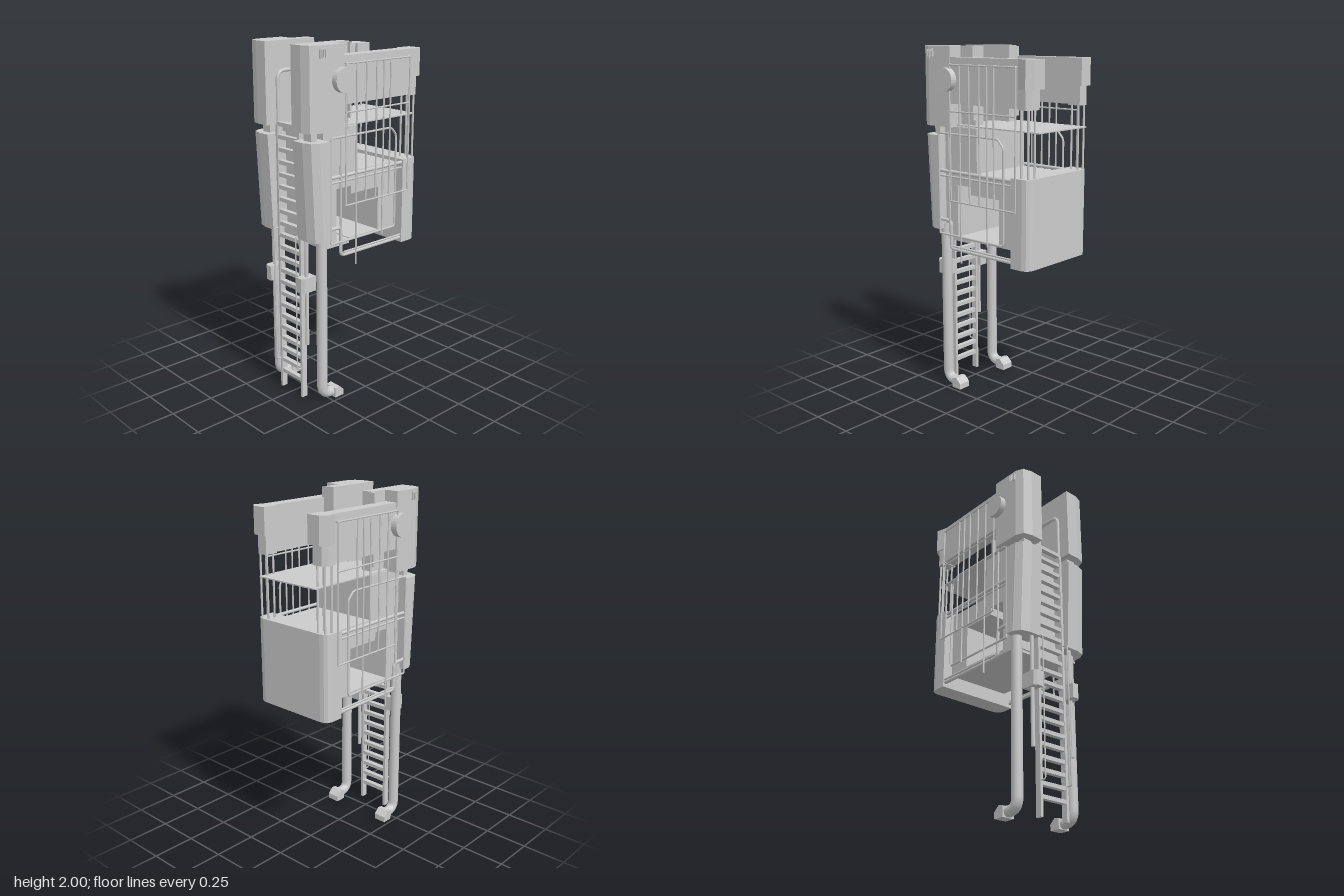
import * as THREE from 'three';

const gray = new THREE.MeshStandardMaterial({ color: 0xcccccc, flatShading: true });
const smooth = new THREE.MeshStandardMaterial({ color: 0xcccccc });

export function createModel() {
  const root = new THREE.Group();

  const add = (name, geo, mat = gray) => {
    const m = new THREE.Mesh(geo, mat);
    m.name = name;
    root.add(m);
    return m;
  };
  // box from minimum and maximum corners
  const box = (name, x0, x1, y0, y1, z0, z1) => {
    const g = new THREE.BoxGeometry(x1 - x0, y1 - y0, Math.abs(z1 - z0));
    g.translate((x0 + x1) / 2, (y0 + y1) / 2, (z0 + z1) / 2);
    return add(name, g);
  };
  // upright prism from an [x, z] outline
  const prism = (name, outline, y0, y1) => {
    const shape = new THREE.Shape(outline.map(([x, z]) => new THREE.Vector2(x, -z)));
    const g = new THREE.ExtrudeGeometry(shape, { depth: y1 - y0, bevelEnabled: false });
    g.rotateX(-Math.PI / 2).translate(0, y0, 0);
    return add(name, g);
  };
  // straight round bar between two points
  const bar = (name, a, b, r, sides = 8) => {
    const p = new THREE.Vector3(...a), q = new THREE.Vector3(...b);
    const d = q.clone().sub(p);
    const m = add(name, new THREE.CylinderGeometry(r, r, d.length(), sides), smooth);
    m.position.copy(p).add(q).multiplyScalar(0.5);
    m.quaternion.setFromUnitVectors(new THREE.Vector3(0, 1, 0), d.normalize());
    return m;
  };
  // bent pipe with rounded corners
  const pipe = (name, pts, r, bend, sides = 8) => {
    const v = pts.map(p => new THREE.Vector3(...p));
    const path = new THREE.CurvePath();
    let last = v[0];
    for (let i = 1; i < v.length - 1; i++) {
      const a = v[i].clone().add(v[i - 1].clone().sub(v[i]).setLength(bend));
      const b = v[i].clone().add(v[i + 1].clone().sub(v[i]).setLength(bend));
      path.add(new THREE.LineCurve3(last, a));
      path.add(new THREE.QuadraticBezierCurve3(a, v[i], b));
      last = b;
    }
    path.add(new THREE.LineCurve3(last, v[v.length - 1]));
    return add(name, new THREE.TubeGeometry(path, 96, r, sides), smooth);
  };

  // front tub with rounded corners
  const tub = [[0.265, 0.26], [0.34, 0.26], [0.365, 0.252], [0.378, 0.235], [0.383, 0.21]];
  prism('frontTub', [...tub, ...tub.map(([x, z]) => [x, -z]).reverse()], 0.84, 1.33);
  box('tubInnerBlock', 0.13, 0.27, 0.93, 1.31, -0.2, 0.2);

  // cabin core
  box('backWall', -0.28, -0.185, 0.92, 1.56, -0.2, 0.2);
  box('seatBlock', -0.19, -0.035, 1.23, 1.56, -0.2, 0.2);
  box('middleShelf', -0.08, 0.14, 1.185, 1.31, -0.2, 0.2);
  box('floor', -0.27, -0.09, 0.905, 0.93, -0.2, 0.2);
  box('frontFloor', -0.09, 0.27, 0.92, 0.935, -0.2, 0.2);
  box('roofPlate', -0.19, 0.405, 1.565, 1.572, -0.205, 0.205);

  for (const s of [1, -1]) {
    const P = (x, y, z) => [x, y, s * z];
    const sbox = (n, x0, x1, y0, y1, z0, z1) => box(n, x0, x1, y0, y1, s * z0, s * z1);
    const sprism = (n, o, y0, y1) => prism(n, o.map(([x, z]) => [x, s * z]), y0, y1);

    // upper rear pod with its inner arm
    sprism('upperRearPod', [[-0.41, 0.105], [-0.41, 0.18], [-0.395, 0.232], [-0.35, 0.252],
      [-0.18, 0.255], [-0.18, 0.17], [-0.07, 0.17], [-0.07, 0.105]], 1.56, 2.0);
    sbox('podLip', -0.08, -0.068, 1.6, 1.995, 0.16, 0.19);
    sbox('podMarkTop', -0.345, -0.31, 1.975, 1.985, 0.25, 0.257);
    sbox('podMarkSide', -0.345, -0.337, 1.935, 1.985, 0.25, 0.257);
    for (let i = 0; i < 4; i++) sbox('podStud', -0.35 + i * 0.012, -0.344 + i * 0.012, 1.94, 1.98, 0.25, 0.264);

    // lower rear pod, tapering toward the bottom
    const low = sprism('lowerRearPod', [[-0.405, 0.105], [-0.405, 0.18], [-0.39, 0.232],
      [-0.35, 0.255], [-0.28, 0.258], [-0.28, 0.105]], 0.97, 1.51);
    const pos = low.geometry.attributes.position;
    for (let i = 0; i < pos.count; i++) {
      if (pos.getY(i) < 1.2 && pos.getX(i) < -0.3) pos.setX(i, pos.getX(i) + 0.025);
    }
    low.geometry.computeVertexNormals();
    sbox('podConnector', -0.36, -0.32, 1.5, 1.57, 0.14, 0.2);

    // side disc
    const disc = add('sideDisc', new THREE.CylinderGeometry(0.065, 0.065, 0.04, 28));
    disc.rotation.x = Math.PI / 2;
    disc.position.set(-0.2, 1.82, s * 0.268);

    // upper front arm and its end block
    sbox('upperArm', -0.18, 0.31, 1.69, 1.94, 0.175, 0.25);
    sprism('armEndBlock', [[0.305, 0.155], [0.305, 0.25], [0.37, 0.27], [0.403, 0.235], [0.403, 0.155]], 1.79, 1.94);
    sprism('armEndLower', [[0.305, 0.17], [0.305, 0.25], [0.36, 0.255], [0.383, 0.23], [0.383, 0.17]], 1.685, 1.79);
    for (const [x, z] of [[0.32, 0.185], [0.32, 0.24], [0.365, 0.185], [0.365, 0.235]]) {
      bar('supportRod', P(x, 1.32, z), P(x, 1.7, z), 0.006);
    }

    // upper safety cage
    const zc = 0.264;
    for (const y of [1.9, 1.65, 1.15]) bar('cageCrossbar', P(-0.18, y, zc), P(0.3, y, zc), 0.005, 6);
    for (const [x, y] of [[-0.175, 1.15], [-0.1, 0.8], [-0.03, 1.15], [0.045, 1.15], [0.1, 0.93], [0.15, 1.15], [0.3, 1.15]]) {
      bar('cageUpright', P(x, y, zc), P(x, 1.9, zc), 0.005, 6);
    }
    for (const x of [-0.17, 0.045, 0.15, 0.295]) bar('cageMount', P(x, 1.9, 0.24), P(x, 1.9, 0.268), 0.006, 6);

    // lower side rails
    pipe('lowerCageFrame', [P(-0.275, 0.95, 0.255), P(-0.275, 1.525, 0.255), P(0.17, 1.525, 0.255),
      P(0.21, 1.48, 0.255), P(0.21, 0.95, 0.255), P(-0.275, 0.95, 0.255)], 0.006, 0.01, 6);
    bar('lowerCageRail', P(-0.18, 0.885, 0.25), P(0.27, 0.885, 0.25), 0.006, 6);
    bar('middleRail', P(-0.27, 1.285, 0.25), P(0.27, 1.285, 0.25), 0.006, 6);
    bar('cageLowerPost', P(-0.2, 0.93, 0.25), P(-0.2, 1.53, 0.25), 0.006, 6);
    pipe('sidePipe', [P(0.27, 0.868, 0.245), P(-0.195, 0.868, 0.245), P(-0.195, 1.03, 0.245),
      P(-0.293, 1.03, 0.245), P(-0.293, 1.312, 0.245), P(0.27, 1.312, 0.245)], 0.01, 0.025);

    // leg pipe and foot
    pipe('legPipe', [P(-0.288, 1.0, 0.193), P(-0.288, 0.034, 0.193), P(-0.2, 0.034, 0.193)], 0.03, 0.06, 16);
    const foot = new THREE.Shape([[-0.22, 0.002], [-0.157, 0.002], [-0.157, 0.035], [-0.19, 0.066], [-0.22, 0.06]]
      .map(p => new THREE.Vector2(...p)));
    const footGeo = new THREE.ExtrudeGeometry(foot, { depth: 0.075, bevelEnabled: false });
    add('foot', footGeo.translate(0, 0, s * 0.193 - 0.0375));

    // bracket with piston rod
    sprism('legBracket', [[-0.4, 0.11], [-0.4, 0.15], [-0.385, 0.165], [-0.305, 0.165], [-0.305, 0.11]], 0.67, 0.755);
    bar('pistonRod', P(-0.35, 0.35, 0.14), P(-0.35, 0.98, 0.14), 0.011, 10);

    // ladder rail hooking over the top
    box('ladderRail', -0.355, -0.32, 0, 1.56, s * 0.09 - 0.008, s * 0.09 + 0.008);
    pipe('ladderHook', [P(-0.34, 1.5, 0.092), P(-0.34, 1.845, 0.092), P(-0.182, 1.845, 0.092), P(-0.182, 1.54, 0.092)], 0.01, 0.05, 10);
    pipe('ladderWire', [P(-0.345, 0.185, 0.092), P(-0.385, 0.185, 0.092), P(-0.385, 0.98, 0.092), P(-0.345, 0.98, 0.092)], 0.004, 0.008, 6);
  }

  // ladder rungs
  for (let i = 0; i < 22; i++) {
    const y = 0.105 + i * 0.0695;
    box('ladderRung', -0.352, -0.324, y - 0.011, y + 0.011, -0.09, 0.09);
  }
  return root;
}
